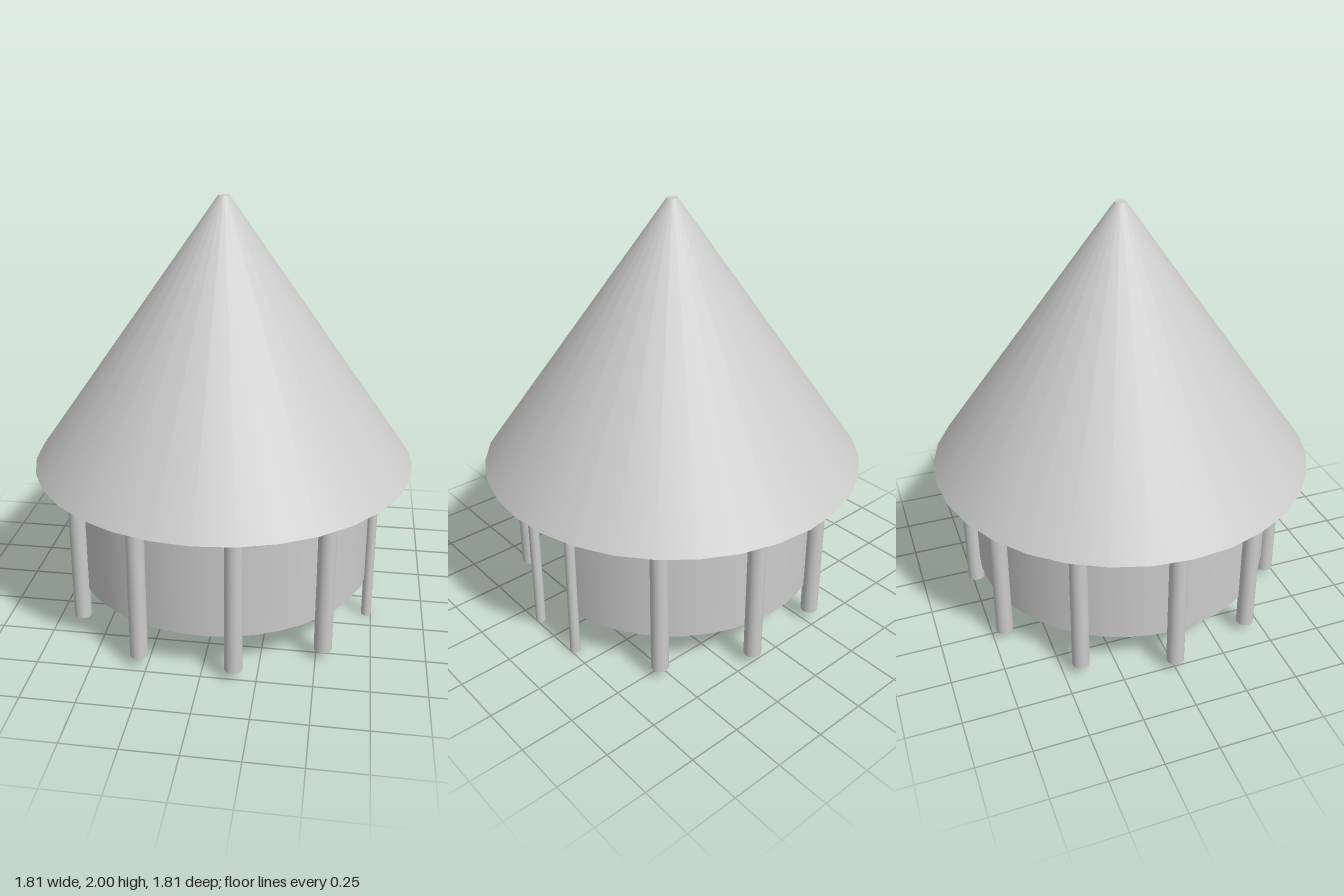
import * as THREE from 'three';

const material = new THREE.MeshStandardMaterial({ color: 0xcccccc });
const thinMaterial = new THREE.MeshStandardMaterial({ color: 0xcccccc, side: THREE.DoubleSide });

// Upright round pole from y0 to y1
function pole(name, radius, y0, y1, x, z) {
  const mesh = new THREE.Mesh(new THREE.CylinderGeometry(radius, radius, y1 - y0, 16), material);
  mesh.name = name;
  mesh.position.set(x, (y0 + y1) / 2, z);
  return mesh;
}

export function createModel() {
  const hut = new THREE.Group();
  hut.name = 'hut';

  // Conical roof, open underneath, with a tiny flat tip
  const roof = new THREE.Mesh(new THREE.CylinderGeometry(0.025, 0.905, 1.25, 32, 1, true), thinMaterial);
  roof.name = 'roof';
  roof.position.y = 1.375;
  hut.add(roof);

  const tip = new THREE.Mesh(new THREE.CircleGeometry(0.025, 32), material);
  tip.name = 'roofTip';
  tip.rotation.x = -Math.PI / 2;
  tip.position.y = 2;
  hut.add(tip);

  // Thin round wall with a doorway gap facing +x
  const gap = 0.2;
  const wall = new THREE.Mesh(
    new THREE.CylinderGeometry(0.727, 0.727, 0.63, 40, 1, true, Math.PI / 2 + gap, 2 * Math.PI - 2 * gap),
    thinMaterial
  );
  wall.name = 'wall';
  wall.position.y = 0.515;
  hut.add(wall);

  // Nine stilts, spread over three quarters of the circle away from the door
  const stilts = new THREE.Group();
  stilts.name = 'stilts';
  for (let i = 0; i < 9; i++) {
    const a = Math.PI / 4 + (i / 8) * 1.5 * Math.PI;
    stilts.add(pole('stilt', 0.041, 0.05, 0.83, 0.752 * Math.cos(a), 0.752 * Math.sin(a)));
  }
  hut.add(stilts);

  // Door frame: two posts and a round lintel
  const doorFrame = new THREE.Group();
  doorFrame.name = 'doorFrame';
  for (const side of [-1, 1]) {
    doorFrame.add(pole('doorPost', 0.024, 0, 0.69, 0.728, side * 0.145));
  }
  const lintel = new THREE.Mesh(new THREE.CylinderGeometry(0.022, 0.022, 0.33, 16), material);
  lintel.name = 'lintel';
  lintel.rotation.x = Math.PI / 2;
  lintel.position.set(0.735, 0.687, 0);
  doorFrame.add(lintel);
  hut.add(doorFrame);

  return hut;
}
